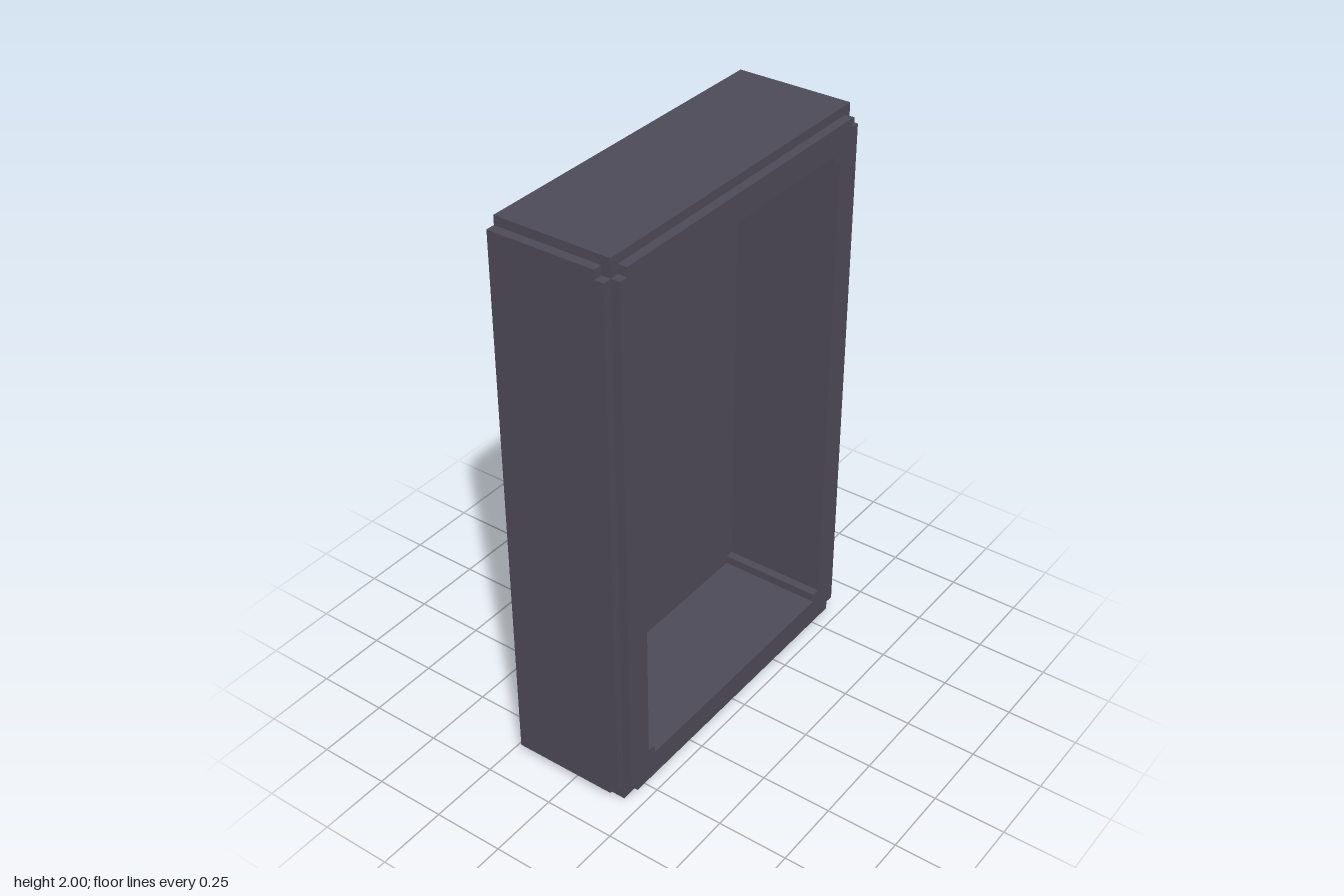
import * as THREE from 'three';

const U = 2 / 64; // one grid step; the model is 40 x 64 x 14 steps

// Rectangle outline with square notches cut from its four corners.
// w, h: half extents; nx, ny: notch size (all in steps)
function notched(w, h, nx, ny, Type = THREE.Shape) {
  const pts = [
    [w, -h + ny], [w, h - ny], [w - nx, h - ny], [w - nx, h],
    [-w + nx, h], [-w + nx, h - ny], [-w, h - ny], [-w, -h + ny],
    [-w + nx, -h + ny], [-w + nx, -h], [w - nx, -h], [w - nx, -h + ny],
  ];
  return new Type(pts.map(([x, y]) => new THREE.Vector2(x * U, (y + 32) * U)));
}

export function createModel() {
  const group = new THREE.Group();
  const purple = new THREE.MeshStandardMaterial({ color: 0x4e4a58 });
  purple.name = 'dark purple';
  const grey = new THREE.MeshStandardMaterial({ color: 0x4c4c4c });
  grey.name = 'dark grey';

  const add = (name, geometry, material) => {
    const mesh = new THREE.Mesh(geometry, material);
    mesh.name = name;
    group.add(mesh);
    return mesh;
  };

  // Slabs stacked from back to front: [name, from, to, outline, open]
  const layers = [
    ['backPanel', 0, 2, [20, 32, 1, 1], false],
    ['frameWalls', 2, 12, [20, 32, 1, 1], true],
    ['frameShoulder', 12, 13, [20, 32, 1, 2], true],
    ['frontRim', 13, 14, [19, 31, 1, 1], true],
  ];
  for (const [name, from, to, outline, open] of layers) {
    const shape = notched(...outline);
    if (open) shape.holes.push(notched(16, 28, 1, 1, THREE.Path));
    const geo = new THREE.ExtrudeGeometry(shape, { depth: (to - from) * U, bevelEnabled: false });
    add(name, geo.translate(0, 0, (from - 7) * U), purple);
  }

  // Grey back face
  const back = new THREE.ShapeGeometry(notched(20, 32, 1, 1));
  add('backFace', back.rotateY(Math.PI).translate(0, 0, -7 * U - 0.001), grey);

  // Grey underside
  const base = new THREE.PlaneGeometry(38 * U, 13 * U).rotateX(Math.PI / 2);
  add('underside', base.translate(0, -0.001, -0.5 * U), grey);

  return group;
}
